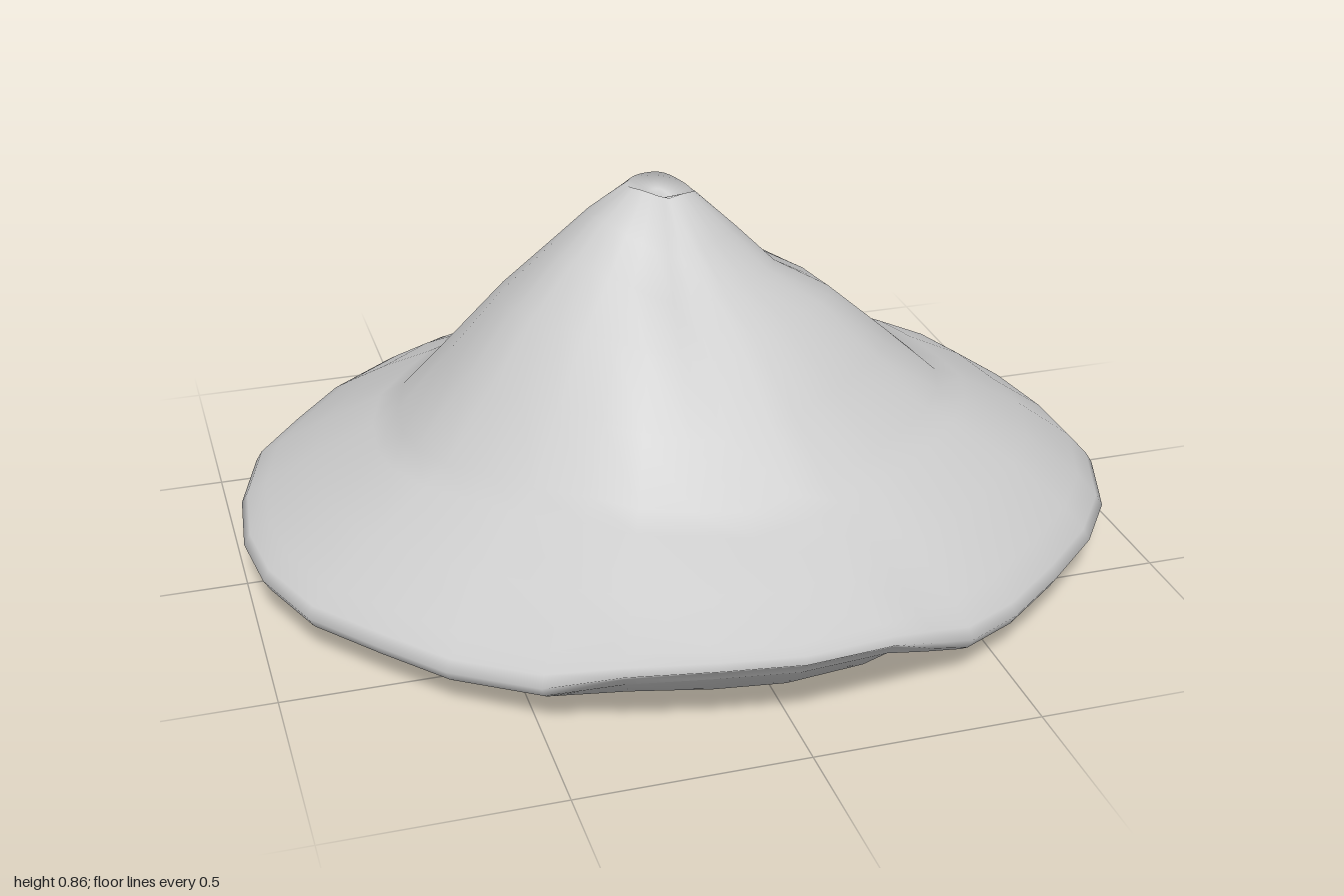
import * as THREE from 'three';
import { mergeVertices } from 'three/addons/utils/BufferGeometryUtils.js';

// Uneven brim edge, counterclockwise from the front: [x, z, height]
const RIM = [
  [0, 0.955, 0.19], [0.2, 0.93, 0.185], [0.31, 0.88, 0.14], [0.41, 0.84, 0.105], [0.54, 0.77, 0.1],
  [0.69, 0.65, 0.1], [0.83, 0.52, 0.1], [0.93, 0.38, 0.1], [1, 0.18, 0.1],
  [1, 0, 0.1], [0.97, -0.2, 0.1], [0.92, -0.37, 0.1], [0.82, -0.53, 0.1],
  [0.69, -0.67, 0.1], [0.55, -0.795, 0.105], [0.38, -0.89, 0.11], [0.2, -0.945, 0.115],
  [0, -0.955, 0.115], [-0.18, -0.945, 0.115], [-0.37, -0.905, 0.11], [-0.54, -0.82, 0.1],
  [-0.69, -0.7, 0.1], [-0.81, -0.55, 0.1], [-0.92, -0.4, 0.1], [-0.98, -0.2, 0.1],
  [-1, 0, 0.1], [-0.98, 0.17, 0.1], [-0.91, 0.35, 0.1], [-0.79, 0.5, 0.1],
  [-0.67, 0.64, 0.1], [-0.5, 0.77, 0.11], [-0.36, 0.88, 0.18], [-0.17, 0.93, 0.19],
];

// Cone heights at each fraction of the brim radius, in four directions
const T = [0, 0.03, 0.075, 0.165, 0.25, 0.37, 0.5, 0.62, 0.68, 0.82, 0.94];
const LEFT = [0.81, 0.815, 0.83, 0.74, 0.65, 0.58, 0.465, 0.355, 0.335, 0.26, 0.175];
const RIGHT = [0.81, 0.83, 0.855, 0.795, 0.72, 0.61, 0.46, 0.325, 0.29, 0.22, 0.15];
const FRONT = [0.81, 0.83, 0.845, 0.74, 0.655, 0.575, 0.45, 0.34, 0.31, 0.24, 0.165];
const BACK = [0.81, 0.83, 0.855, 0.755, 0.65, 0.53, 0.425, 0.33, 0.295, 0.225, 0.155];

const clamp = (v) => THREE.MathUtils.clamp(v, 0, 1);

// One ring shrunk from the brim edge towards the slightly offset tip
function ring(t, heightAt) {
  return RIM.map(([rx, rz, ry]) => {
    const x = rx * t - 0.02 * (1 - t);
    const z = rz * t - 0.02 * (1 - t);
    return [x, heightAt(x, z, ry, rx, rz), z];
  });
}

// Smooth skin through a list of rings
function skin(rings, name) {
  const n = RIM.length;
  const index = [];
  for (let i = 0; i < rings.length - 1; i++) {
    for (let j = 0; j < n; j++) {
      const k = (j + 1) % n;
      const a = i * n + j, b = (i + 1) * n + j, c = (i + 1) * n + k, d = i * n + k;
      index.push(a, b, c, a, c, d);
    }
  }
  let geo = new THREE.BufferGeometry();
  geo.setAttribute('position', new THREE.Float32BufferAttribute(rings.flat(2), 3));
  geo.setIndex(index);
  geo = mergeVertices(geo);
  geo.computeVertexNormals();
  const mesh = new THREE.Mesh(geo, new THREE.MeshStandardMaterial({ color: 0xcccccc, side: THREE.DoubleSide }));
  mesh.name = name;
  return mesh;
}

// Cone height blended between the four directions,
// with the front lip lifted and the front quarters a little fuller
function coneHeight(i) {
  return (x, z, ry, rx, rz) => {
    const wx = (rx * rx) / (rx * rx + rz * rz);
    const side = rx > 0 ? LEFT[i] : RIGHT[i];
    const end = rz > 0 ? FRONT[i] : BACK[i];
    const lift = 0.5 * Math.max(0, ry - 0.12) * clamp((T[i] - 0.7) / 0.24);
    const bulge = rz > 0 ? 0.07 * Math.sqrt(wx * (1 - wx)) * Math.sin(Math.PI * T[i]) : 0;
    return side * wx + end * (1 - wx) + lift + bulge;
  };
}

// Nearly flat underside, sagging at the back right and rising again at the back edge
function underHeight(x, z) {
  const sag = clamp(-z / 0.2) * clamp((0.2 - x) / 0.3) * (1 - 0.65 * clamp((-z - 0.5) / 0.32));
  return 0.045 + 0.035 * Math.max(0, z) - 0.045 * sag;
}

// Half thickness of the brim edge, thinner on the raised lip
const halfEdge = (ry) => 0.025 - 0.2 * Math.max(0, ry - 0.12);

export function createModel() {
  const group = new THREE.Group();
  group.name = 'conicalHat';

  // Cone, dimpled tip and rounded brim edge
  const top = T.map((t, i) => ring(t, coneHeight(i)));
  top.push(ring(0.985, (x, z, ry) => ry + halfEdge(ry)));
  top.push(ring(1, (x, z, ry) => ry));
  top.push(ring(0.985, (x, z, ry) => ry - halfEdge(ry)));
  const edge = ring(0.965, (x, z, ry) => ry - 0.038);
  top.push(edge);
  group.add(skin(top, 'coneAndBrim'));

  // Closed underside
  const under = [edge];
  for (const t of [0.88, 0.75, 0.6, 0.4, 0.2, 0]) under.push(ring(t, underHeight));
  group.add(skin(under, 'underside'));
  return group;
}
